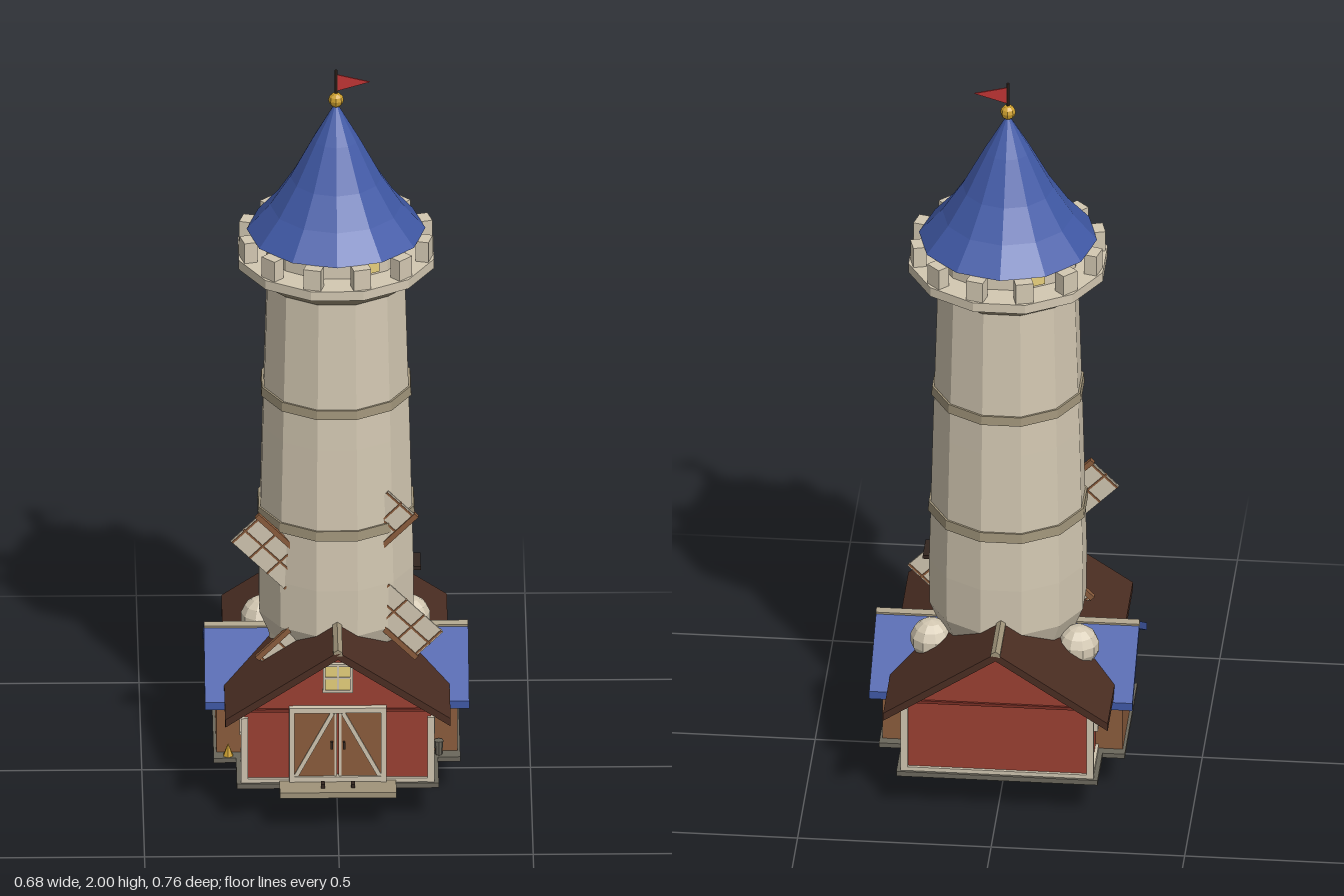
import * as THREE from 'three';

const C = {
  stone: 0xd3c8b2, band: 0xa0947a, trim: 0xcfc5b0, red: 0x9a4032, wood: 0x8a5c3c, darkWood: 0x4a2d22,
  blue: 0x4059a6, gold: 0xcc9f2e, glass: 0xe6cf7c, flag: 0xc03434, floor: 0x6b675c, dark: 0x33261f, green: 0x3f8a3a,
};
const mats = {};
function mat(color, side = THREE.FrontSide) {
  const key = color + '_' + side;
  return mats[key] ??= new THREE.MeshStandardMaterial({ color, flatShading: true, side });
}
function add(parent, name, geo, color, x = 0, y = 0, z = 0, side) {
  const m = new THREE.Mesh(geo, mat(color, side));
  m.name = name;
  m.position.set(x, y, z);
  parent.add(m);
  return m;
}
const box = (p, name, color, w, h, d, x, y, z) => add(p, name, new THREE.BoxGeometry(w, h, d), color, x, y, z);

function group(parent, name, x = 0, y = 0, z = 0) {
  const g = new THREE.Group();
  g.name = name;
  g.position.set(x, y, z);
  parent.add(g);
  return g;
}

// Outline in x/y, extruded along z from z0 to z1
function prism(points, z0, z1) {
  const shape = new THREE.Shape(points.map(p => new THREE.Vector2(...p)));
  return new THREE.ExtrudeGeometry(shape, { depth: z1 - z0, bevelEnabled: false }).translate(0, 0, z0);
}

// House block with pitched roof and ridge cap; ridge along local z
function house(parent, name, o) {
  const g = group(parent, name);
  const slope = (o.ridge - o.eave) / o.roofX;
  const t = 0.022;
  const top = o.ridge - t;
  add(g, 'walls', prism([[-o.wallX, 0.11], [o.wallX, 0.11], [o.wallX, top - slope * o.wallX],
    [0, top], [-o.wallX, top - slope * o.wallX]], o.wallZ[0], o.wallZ[1]), o.wall);
  add(g, 'roof', prism([[-o.roofX, o.eave], [-o.roofX, o.eave - t], [0, top], [o.roofX, o.eave - t],
    [o.roofX, o.eave], [0, o.ridge]], o.roofZ[0], o.roofZ[1]), o.roof);
  add(g, 'ridgeCap', prism([[-0.012, o.ridge - 0.012], [0.012, o.ridge - 0.012], [0.012, o.ridge - 0.002],
    [0, o.ridge + 0.006], [-0.012, o.ridge - 0.002]], o.roofZ[0], o.roofZ[1]), C.band);
  return g;
}

// Framed window facing +z
function windowFrame(parent, w, h) {
  const g = group(parent, 'window');
  box(g, 'pane', C.glass, w, h, 0.008, 0, 0, 0);
  for (const s of [-1, 1]) {
    box(g, 'frameSide', C.trim, 0.007, h + 0.008, 0.016, s * w / 2, 0, 0);
    box(g, 'frameRail', C.trim, w + 0.008, 0.007, 0.016, 0, s * h / 2, 0);
  }
  box(g, 'mullion', C.trim, 0.005, h, 0.012, 0, 0, 0);
  box(g, 'crossbar', C.trim, w, 0.005, 0.012, 0, 0, 0);
  return g;
}

function buildTower(root) {
  const g = group(root, 'tower', 0, 0, -0.02);
  const drum = (name, color, rTop, rBottom, y0, y1) => {
    const m = add(g, name, new THREE.CylinderGeometry(rTop, rBottom, y1 - y0, 12), color, 0, (y0 + y1) / 2);
    m.rotation.y = Math.PI / 12;
    return m;
  };
  const profile = [[0.17, 0.3], [0.18, 0.41], [0.205, 0.47], [0.206, 0.6], [0.196, 1.0], [0.183, 1.43]];
  const shaft = add(g, 'shaft', new THREE.LatheGeometry(profile.map(p => new THREE.Vector2(...p)), 12), C.stone);
  shaft.rotation.y = Math.PI / 12;
  drum('band', C.band, 0.207, 0.209, 0.745, 0.772);
  drum('band', C.band, 0.198, 0.2, 1.09, 1.115);
  drum('corbel', C.band, 0.25, 0.188, 1.415, 1.462);
  drum('ledge', C.stone, 0.26, 0.26, 1.462, 1.488);
  drum('lookout', C.stone, 0.185, 0.185, 1.48, 1.55);
  // Merlons sit on the corners of the ledge
  for (let i = 0; i < 12; i++) {
    const a = (i + 0.5) * Math.PI / 6;
    const m = box(g, 'merlon', C.stone, 0.046, 0.06, 0.034, Math.sin(a) * 0.234, 1.515, Math.cos(a) * 0.234);
    m.rotation.y = a;
    if (i % 3 === 1) {
      const b = i * Math.PI / 6;
      const w = box(g, 'lookoutWindow', C.glass, 0.04, 0.04, 0.01, Math.sin(b) * 0.179, 1.515, Math.cos(b) * 0.179);
      w.rotation.y = b;
    }
  }
  // Flared spire, finial and pennant
  const spire = [[0, 1.545], [0.23, 1.545], [0.17, 1.615], [0.118, 1.695], [0.06, 1.805], [0, 1.91]];
  add(g, 'spire', new THREE.LatheGeometry(spire.map(p => new THREE.Vector2(...p)), 12), C.blue);
  add(g, 'finial', new THREE.SphereGeometry(0.02, 8, 6), C.gold, 0, 1.915);
  add(g, 'flagPole', new THREE.CylinderGeometry(0.004, 0.004, 0.1, 6), C.dark, 0, 1.95);
  add(g, 'pennant', prism([[0, 1.94], [0.087, 1.966], [0, 1.988]], -0.002, 0.002), C.flag);
  // Small perch bar on the side
  box(g, 'perch', C.dark, 0.025, 0.01, 0.08, 0.205, 0.59, 0.01);
}

function buildSails(root) {
  const g = group(root, 'windmillSails', 0, 0.59, 0.13);
  for (let i = 0; i < 4; i++) {
    const arm = group(g, 'sail');
    arm.rotation.z = Math.PI / 4 + i * Math.PI / 2;
    box(arm, 'spar', C.wood, 0.29, 0.014, 0.014, 0.145, 0, 0);
    box(arm, 'canvas', C.trim, 0.2, 0.095, 0.005, 0.187, 0.052, 0);
    for (let k = 0; k < 4; k++) box(arm, 'crossLath', C.wood, 0.005, 0.095, 0.01, 0.092 + k * 0.063, 0.052, 0);
    box(arm, 'longLath', C.wood, 0.2, 0.005, 0.01, 0.187, 0.052, 0);
  }
}

function buildBarn(root) {
  const g = house(root, 'barn', {
    wallX: 0.24, wallZ: [-0.32, 0.3], roofX: 0.29, roofZ: [-0.378, 0.34],
    ridge: 0.505, eave: 0.312, wall: C.red, roof: C.darkWood,
  });
  for (const z of [-0.32, 0.3]) {
    for (const x of [-0.24, 0.24]) box(g, 'cornerPost', C.trim, 0.018, 0.19, 0.018, x, 0.205, z);
    box(g, 'sill', C.trim, 0.49, 0.014, 0.016, 0, 0.119, z);
    box(g, 'gableBeam', 0x7a2f25, 0.47, 0.008, 0.012, 0, 0.32, z);
  }
  for (const s of [-1, 1]) {
    box(g, 'sideSill', C.trim, 0.016, 0.014, 0.62, s * 0.24, 0.119, -0.01);
    for (const z of [0.17, -0.2]) {
      const w = windowFrame(g, 0.052, 0.07);
      w.position.set(s * 0.243, 0.238, z);
      w.rotation.y = s * Math.PI / 2;
    }
  }
  windowFrame(g, 0.07, 0.075).position.set(0, 0.415, 0.304);

  // Double door with slanted braces
  const d = group(g, 'barnDoor', 0, 0.225, 0.305);
  for (const s of [-1, 1]) {
    box(d, 'leaf', C.wood, 0.112, 0.2, 0.01, s * 0.058, 0, 0);
    box(d, 'doorPost', C.trim, 0.014, 0.21, 0.02, s * 0.118, 0, 0.002);
    box(d, 'doorStile', C.trim, 0.006, 0.2, 0.014, s * 0.006, 0, 0.001);
    const brace = box(d, 'brace', C.trim, 0.011, 0.205, 0.016, s * 0.061, 0, 0.001);
    brace.rotation.z = s * 0.48;
    box(d, 'handle', C.dark, 0.006, 0.02, 0.012, s * 0.016, 0, 0.008);
  }
  for (const y of [-0.097, 0.1]) box(d, 'doorRail', C.trim, 0.25, 0.014, 0.02, 0, y, 0.002);
}

function buildCrossWing(root) {
  const wing = house(root, 'crossWing', {
    wallX: 0.15, wallZ: [-0.31, 0.31], roofX: 0.205, roofZ: [-0.34, 0.34],
    ridge: 0.41, eave: 0.285, wall: C.wood, roof: C.blue,
  });
  wing.rotation.y = Math.PI / 2;
  wing.position.z = -0.02;
  // Rounded stones in the roof valleys
  for (const s of [-1, 1]) add(root, 'valleyStone', new THREE.SphereGeometry(0.055, 10, 7), C.stone, s * 0.19, 0.385, -0.11);
}

function buildBase(root) {
  const g = group(root, 'base');
  box(g, 'barnFloor', C.floor, 0.52, 0.014, 0.65, 0, 0.108, -0.01);
  box(g, 'wingFloor', C.floor, 0.635, 0.013, 0.36, 0, 0.108, -0.015);
  box(g, 'doorStep', C.band, 0.3, 0.016, 0.075, 0, 0.112, 0.34);
  for (const s of [-1, 1]) {
    box(g, 'boot', C.dark, 0.01, 0.012, 0.02, s * 0.039, 0.125, 0.342);
    for (const z of [0.11, -0.13]) add(g, 'leg', new THREE.CylinderGeometry(0.011, 0.011, 0.105, 8), C.darkWood, s * 0.08, 0.0525, z);
  }
  // Round hatch and studs under the floor
  add(g, 'hatch', new THREE.CylinderGeometry(0.05, 0.05, 0.01, 12), C.green, 0, 0.098, -0.01);
  add(g, 'hatchKnob', new THREE.CylinderGeometry(0.016, 0.012, 0.025, 8), C.dark, 0, 0.088, -0.01);
  for (let i = 0; i < 8; i++) {
    const a = (i + 0.5) * Math.PI / 4;
    add(g, 'stud', new THREE.CylinderGeometry(0.009, 0.009, 0.006, 8), C.wood, Math.sin(a) * 0.14, 0.1, Math.cos(a) * 0.14 - 0.01);
  }
  // Lantern and bucket beside the wing
  add(g, 'lantern', new THREE.ConeGeometry(0.014, 0.035, 6), C.gold, -0.28, 0.132, 0.148);
  add(g, 'bucket', new THREE.CylinderGeometry(0.012, 0.009, 0.04, 8), C.floor, 0.262, 0.134, 0.148);
}

export function createModel() {
  const root = new THREE.Group();
  root.name = 'towerBarn';
  buildBase(root);
  buildBarn(root);
  buildCrossWing(root);
  buildTower(root);
  buildSails(root);
  return root;
}
